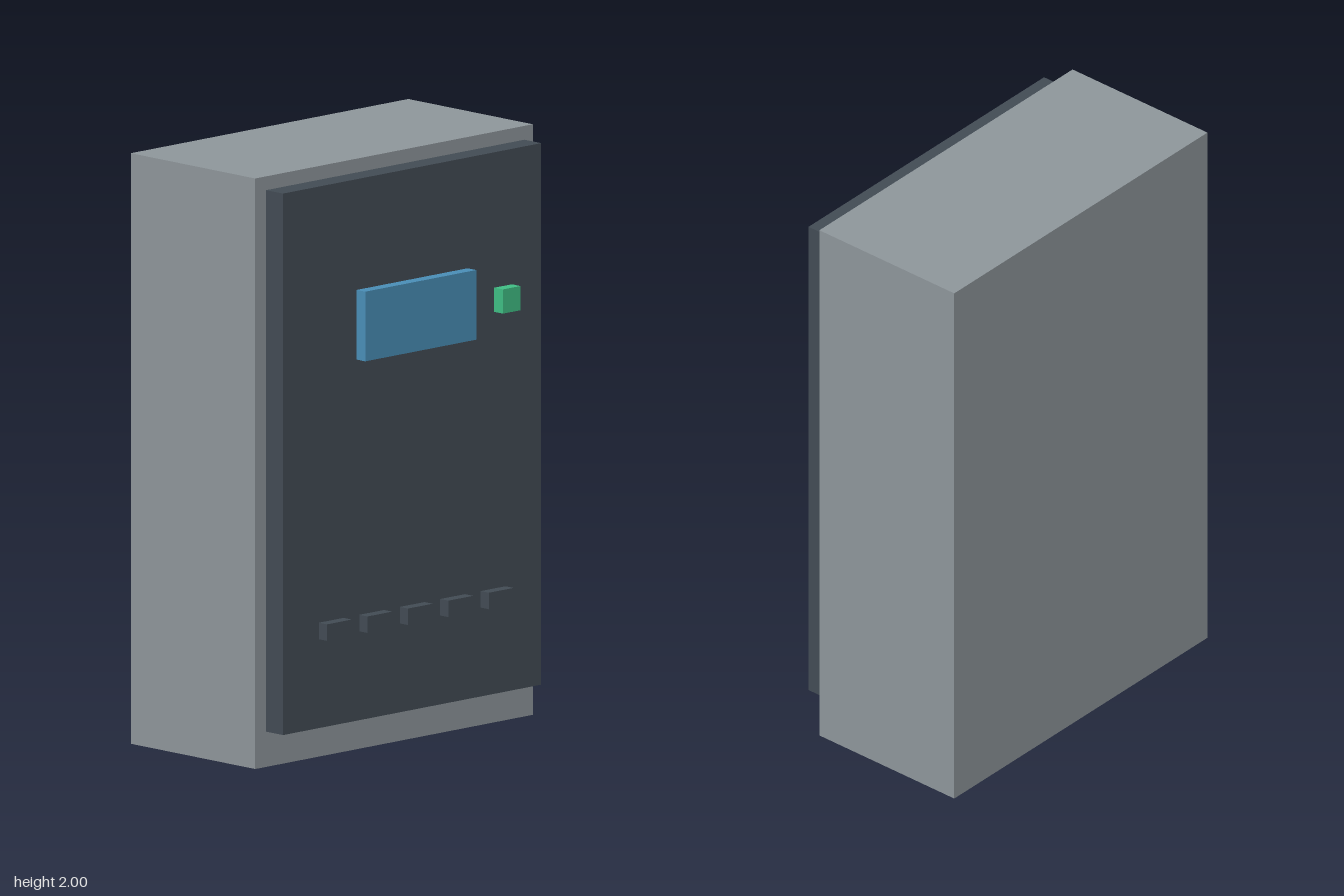
import * as THREE from 'three';

export function createModel() {
  const model = new THREE.Group();
  model.name = 'controlCabinet';

  const paint = (color) => new THREE.MeshStandardMaterial({ color });
  const grey = paint(0x8f979c);
  const dark = paint(0x434c55);
  const blue = paint(0x4a8fb8);
  const green = paint(0x40bf85);

  // Box given by its size, its centre in x and y, and its back face in z
  function addBox(name, material, [w, h, d], x, y, back) {
    const mesh = new THREE.Mesh(new THREE.BoxGeometry(w, h, d), material);
    mesh.name = name;
    mesh.position.set(x, y, back + d / 2);
    model.add(mesh);
  }

  // Housing and the door standing just clear of it
  addBox('housing', grey, [1.29, 2, 0.59], 0, 1, -0.37);
  addBox('door', dark, [1.2, 1.834, 0.08], 0, 1.038, 0.226);

  // Display and status lamp
  addBox('display', blue, [0.516, 0.236, 0.041], 0, 1.462, 0.306);
  addBox('statusLamp', green, [0.082, 0.082, 0.041], 0.4, 1.462, 0.329);

  // Row of push buttons
  for (let i = 0; i < 5; i++) {
    addBox('button' + (i + 1), dark, [0.115, 0.056, 0.039], (i - 2) * 0.188, 0.45, 0.306);
  }

  return model;
}
